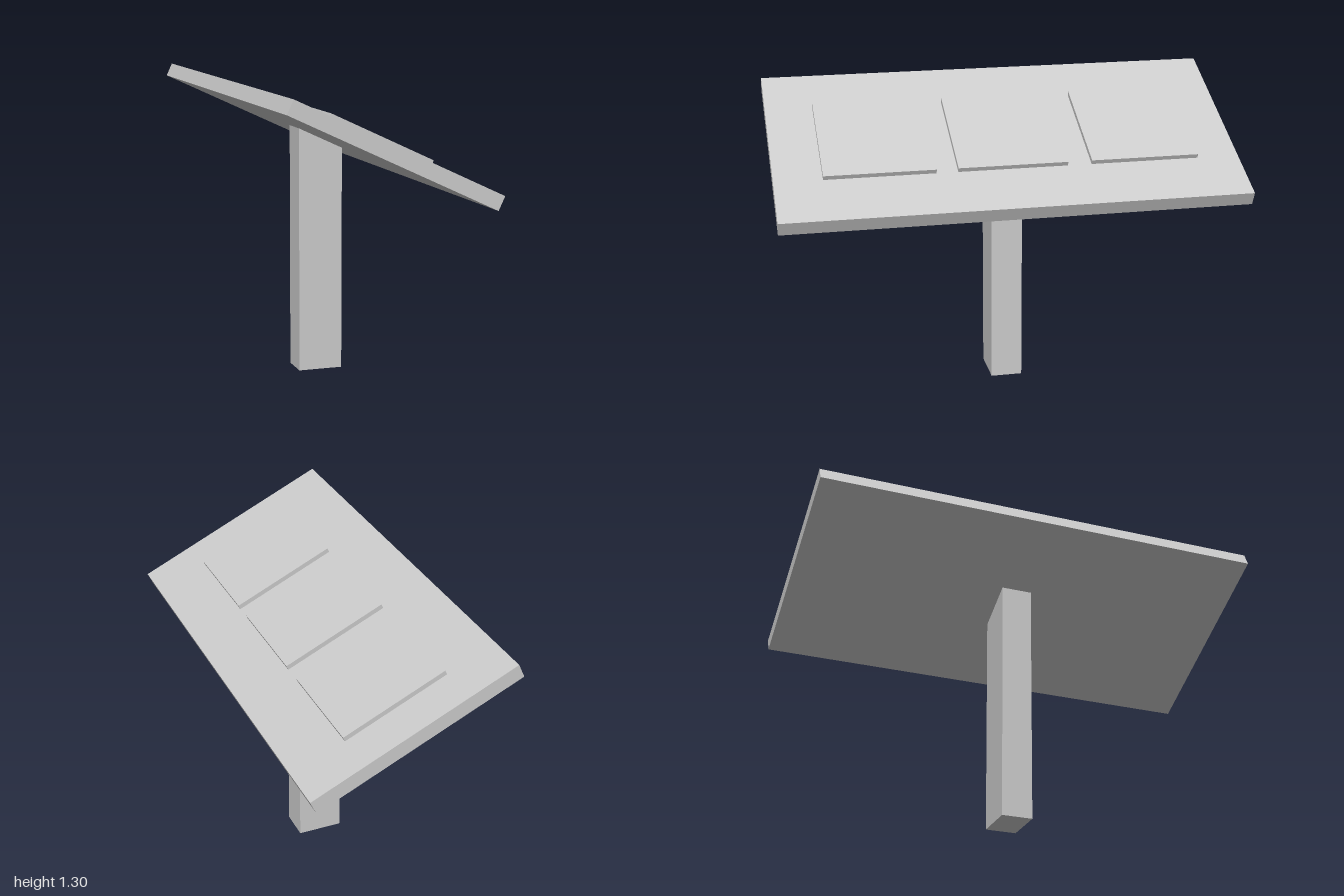
import * as THREE from 'three';

export function createModel() {
  const model = new THREE.Group();
  model.name = 'tiltedDisplayStand';
  const material = new THREE.MeshStandardMaterial({ color: 0xcccccc, flatShading: true });

  const add = (parent, name, geometry, x, y, z) => {
    const mesh = new THREE.Mesh(geometry, material);
    mesh.name = name;
    mesh.position.set(x, y, z);
    parent.add(mesh);
  };

  const tilt = THREE.MathUtils.degToRad(25);
  const thickness = 0.063, centreY = 1.068;

  // Post, cut at a slant to meet the underside of the board
  const half = 0.098, depth = 0.136;
  const topAt = (x) => centreY - thickness / 2 / Math.cos(tilt) - x * Math.tan(tilt);
  const profile = new THREE.Shape([
    new THREE.Vector2(-half, 0),
    new THREE.Vector2(half, 0),
    new THREE.Vector2(half, topAt(half)),
    new THREE.Vector2(-half, topAt(-half)),
  ]);
  add(model, 'post', new THREE.ExtrudeGeometry(profile, { depth, bevelEnabled: false }), 0, 0, -depth / 2);

  // Sloping top, lower on the +x side
  const top = new THREE.Group();
  top.name = 'slopingTop';
  top.position.y = centreY;
  top.rotation.z = -tilt;
  model.add(top);
  add(top, 'board', new THREE.BoxGeometry(0.94, thickness, 2), 0, 0, 0);

  // Three raised panels along the board
  const padHeight = 0.02;
  const padGeometry = new THREE.BoxGeometry(0.47, padHeight, 0.472);
  [-0.58, -0.004, 0.56].forEach((z, i) => {
    add(top, `raisedPanel${i + 1}`, padGeometry, -0.01, (thickness + padHeight) / 2, z);
  });

  return model;
}
